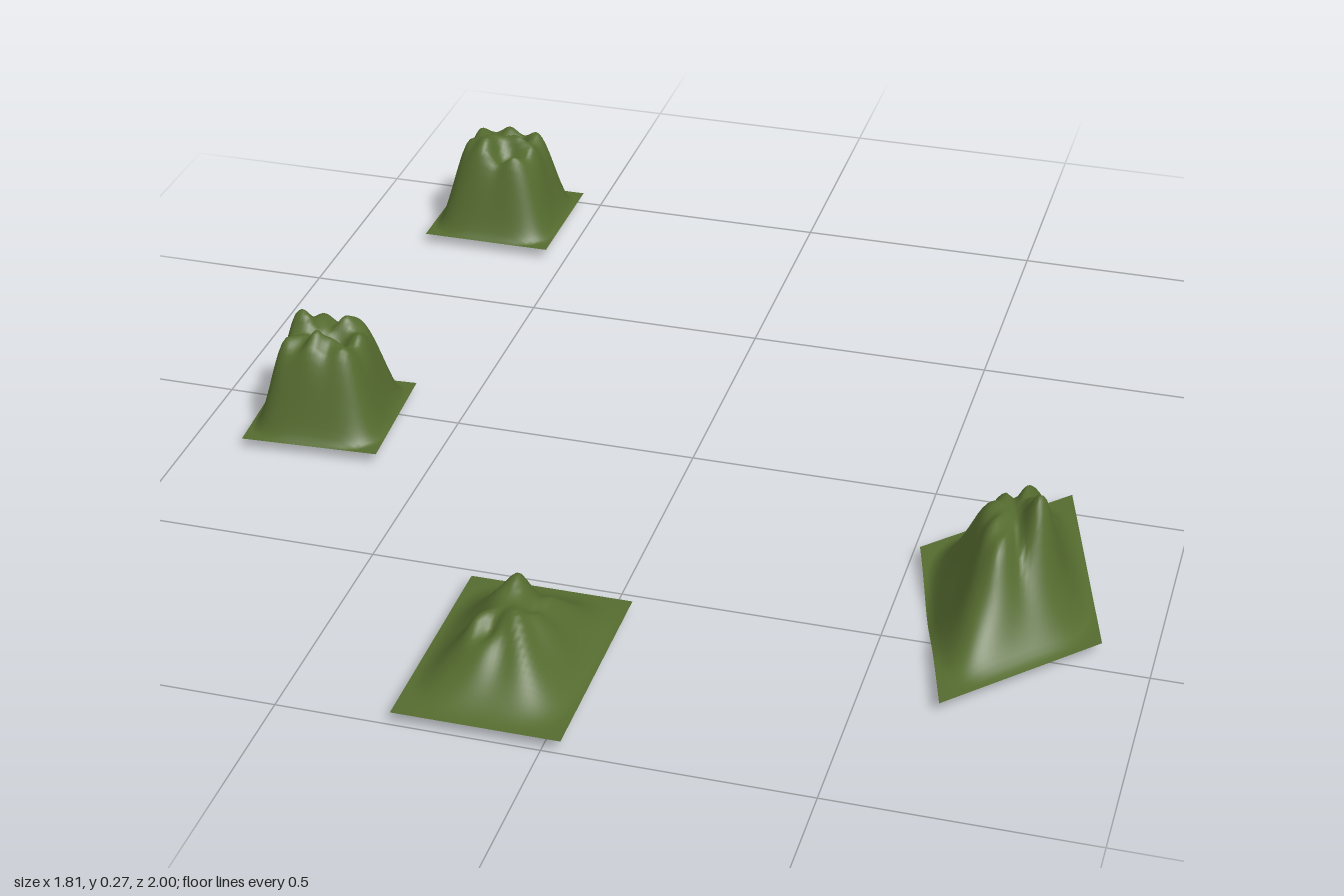
import * as THREE from 'three';

const BASE = 0.025; // height of the flat brim around each hill
const GRID = 40;

const smooth = (t) => {
  const c = Math.min(Math.max(t, 0), 1);
  return c * c * (3 - 2 * c);
};

// Each bump: [u, v, height, radius u, radius v]; negative heights carve hollows.
const bump = (u, v, [bu, bv, h, ru, rv]) =>
  h * Math.exp(-(((u - bu) / ru) ** 2) - ((v - bv) / rv) ** 2);

// A sheet spanned by two ground axes, raised into a rounded hill with a rugged crown.
function hillGeometry({ centre, axisU, axisV, height, slope, bumps, ribs, phase, dip = 0 }) {
  const positions = [];
  const indices = [];
  for (let j = 0; j <= GRID; j++) {
    for (let i = 0; i <= GRID; i++) {
      const u = i / GRID - 0.5;
      const v = j / GRID - 0.5;
      const r = ((2 * u) ** 4 + (2 * v) ** 4) ** 0.25;
      const rise = smooth((1 - r) / slope);
      // Erosion ribs running down the flanks
      const flank = Math.sin(Math.PI * Math.min(r, 1)) ** 2;
      const rib = 1 + ribs * flank * Math.sin(7 * Math.atan2(v, u) + phase);
      let y = BASE + rise * height * rib;
      for (const b of bumps) y += rise * bump(u, v, b);
      // Sagging part of the brim along one edge
      y -= dip * bump(u, v, [-0.5, -0.08, 1, 0.07, 0.2]);
      positions.push(
        centre[0] + u * axisU[0] + v * axisV[0],
        Math.max(y, 0),
        centre[1] + u * axisU[1] + v * axisV[1],
      );
      if (i < GRID && j < GRID) {
        const a = j * (GRID + 1) + i;
        const b = a + GRID + 1;
        indices.push(a, b, a + 1, a + 1, b, b + 1);
      }
    }
  }
  const geometry = new THREE.BufferGeometry();
  geometry.setAttribute('position', new THREE.Float32BufferAttribute(positions, 3));
  geometry.setIndex(indices);
  geometry.computeVertexNormals();
  return geometry;
}

const HILLS = [
  { // steep square hill at the back
    name: 'backHill', centre: [-0.683, -0.858], axisU: [0.285, 0], axisV: [0, 0.285],
    height: 0.178, slope: 0.52, ribs: 0.05, phase: 0.6,
    bumps: [
      [-0.12, 0.14, 0.034, 0.1, 0.09], [0.1, 0, 0.026, 0.09, 0.08],
      [-0.05, 0.02, 0.018, 0.08, 0.07], [0.09, -0.14, -0.03, 0.09, 0.05],
      [0.08, 0.15, -0.03, 0.07, 0.1],
    ],
  },
  { // steep square hill, slightly turned
    name: 'rightHill', centre: [-0.755, 0.061], axisU: [0.282, -0.016], axisV: [0.016, 0.285],
    height: 0.178, slope: 0.52, ribs: 0.05, phase: 2.2,
    bumps: [
      [-0.18, -0.1, 0.034, 0.09, 0.1], [0, 0.14, 0.03, 0.1, 0.08],
      [0.1, 0, -0.035, 0.08, 0.06], [0.12, -0.14, 0.02, 0.08, 0.07],
      [-0.04, 0.02, -0.015, 0.05, 0.05],
    ],
  },
  { // low broad hill at the front
    name: 'frontHill', centre: [-0.122, 0.775], axisU: [0.317, 0], axisV: [0, 0.445],
    height: 0.108, slope: 0.9, ribs: 0.07, phase: 1.2,
    bumps: [
      [-0.05, -0.17, 0.046, 0.1, 0.09], [0.05, 0.08, 0.018, 0.09, 0.07],
      [-0.08, 0.12, -0.022, 0.07, 0.06], [0.09, -0.08, -0.016, 0.04, 0.12],
      [-0.18, 0.1, 0.015, 0.06, 0.1],
    ],
  },
  { // tall skewed hill with a sagging edge
    name: 'leftHill', centre: [0.709, 0.34], axisU: [0.25, -0.26], axisV: [0.137, 0.481],
    height: 0.195, slope: 0.85, ribs: 0.06, phase: 1.2, dip: 0.025,
    bumps: [
      [0.18, 0.14, 0.09, 0.11, 0.1], [-0.14, 0.19, 0.035, 0.08, 0.07],
      [-0.22, 0, 0.03, 0.08, 0.12], [0, 0.14, -0.02, 0.06, 0.08],
      [0.02, -0.1, -0.015, 0.05, 0.14],
    ],
  },
];

export function createModel() {
  const group = new THREE.Group();
  group.name = 'hills';
  const grass = new THREE.MeshStandardMaterial({ color: 0x556b2f, side: THREE.DoubleSide });
  grass.name = 'oliveGrass';
  for (const hill of HILLS) {
    const mesh = new THREE.Mesh(hillGeometry(hill), grass);
    mesh.name = hill.name;
    group.add(mesh);
  }
  return group;
}
